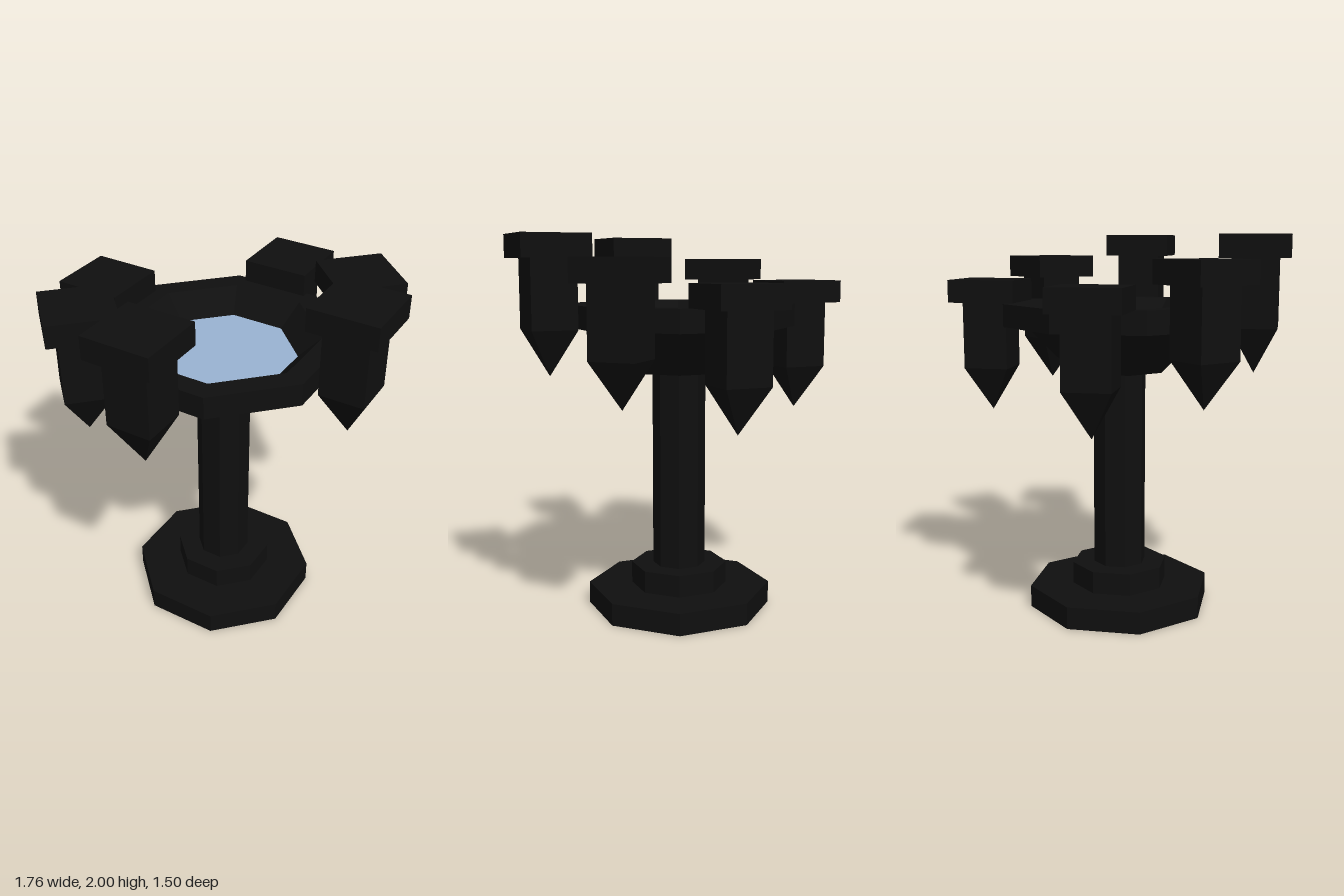
import * as THREE from 'three';

const U = 2 / 17; // modular unit: the model is 17 units tall

export function createModel() {
  const stone = new THREE.MeshStandardMaterial({ color: 0x0f0f0f, flatShading: true });
  stone.name = 'black stone';
  const waterBlue = new THREE.MeshStandardMaterial({ color: 0x99b3d2, flatShading: true });
  waterBlue.name = 'water blue';

  const model = new THREE.Group();
  model.name = 'fountain';

  const add = (parent, name, geometry, material, y = 0) => {
    const mesh = new THREE.Mesh(geometry, material);
    mesh.name = name;
    mesh.position.y = y;
    parent.add(mesh);
    return mesh;
  };

  // Upright octagonal block between two heights, flats facing the axes
  const octagon = (name, radius, y0, y1) => add(model, name,
    new THREE.CylinderGeometry(radius * U, radius * U, (y1 - y0) * U, 8, 1, false, Math.PI / 8),
    stone, (y0 + y1) / 2 * U);

  // Stepped foot and column
  octagon('base', 4.2, 0, 1);
  octagon('baseStep', 2.2, 1, 2);
  octagon('column', 1.2, 2, 11);

  // Bowl with an overhanging rim and sloped inside wall
  const profile = [[0, 11], [2.2, 11], [4.2, 13], [5.2, 13], [5.2, 14], [4.2, 14], [3.2, 13]]
    .map(([r, y]) => new THREE.Vector2(r * U, y * U));
  add(model, 'bowl', new THREE.LatheGeometry(profile, 8, Math.PI / 8), stone);

  // Water surface
  const water = new THREE.CircleGeometry(3.2 * U, 8, Math.PI / 8).rotateX(-Math.PI / 2);
  add(model, 'water', water, waterBlue, 13 * U);

  // Hanging posts around the rim: square cap, square shaft, pointed tip
  const capGeometry = new THREE.BoxGeometry(3 * U, U, 3 * U);
  const shaftGeometry = new THREE.BoxGeometry(2 * U, 3 * U, 2 * U);
  const tipGeometry = new THREE.CylinderGeometry(Math.SQRT2 * U, 0, 2 * U, 4, 1, true, Math.PI / 4);

  // Posts step down from front to back: [angle from the front, top height]
  for (const [angle, top] of [[45, 17], [90, 16], [135, 15]]) {
    for (const side of [1, -1]) {
      const post = new THREE.Group();
      post.name = (side > 0 ? 'left' : 'right') + 'Post' + angle;
      const a = side * THREE.MathUtils.degToRad(angle);
      post.position.set(Math.sin(a) * 6 * U, top * U, Math.cos(a) * 6 * U);
      post.rotation.y = a;
      add(post, 'postCap', capGeometry, stone, -0.5 * U);
      add(post, 'postShaft', shaftGeometry, stone, -2.5 * U);
      add(post, 'postTip', tipGeometry, stone, -5 * U);
      model.add(post);
    }
  }

  return model;
}
